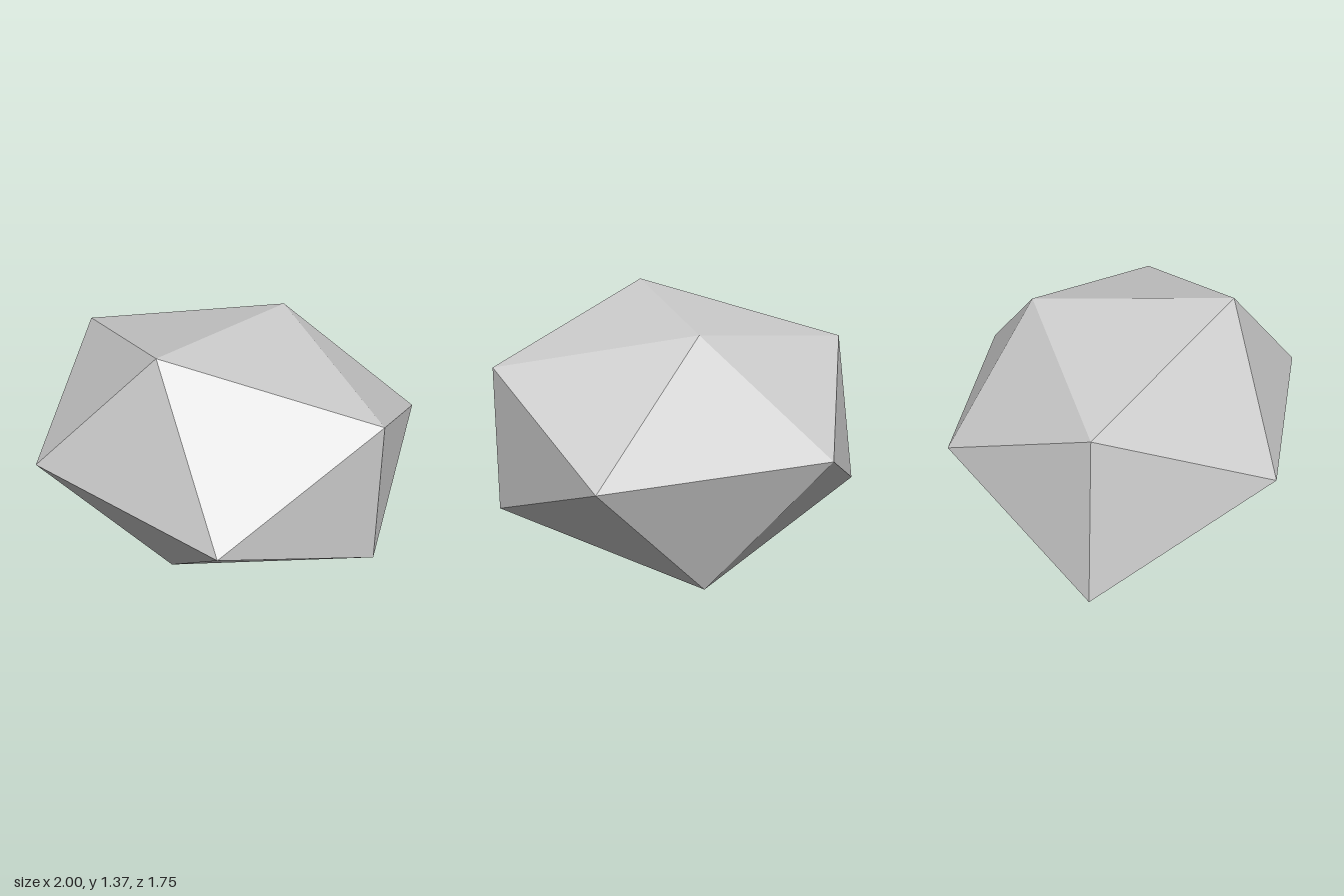
import * as THREE from 'three';

export function createModel() {
  const model = new THREE.Group();
  const stoneGrey = new THREE.MeshStandardMaterial({ color: 0xcccccc });
  const v = (x, y, z) => new THREE.Vector3(x, y, z);

  // Corner pairs, first index 0 = negative side, 1 = positive side
  const ends = [ // [back, front][-x, +x]
    [v(-0.48, 0.7, -0.815), v(0.69, 0.7, -0.88)],
    [v(-0.495, 0.7, 0.825), v(0.698, 0.7, 0.873)],
  ];
  const caps = [ // [bottom, top][back, front]
    [v(0.083, 0, -0.58), v(0.083, 0.13, 0.47)],
    [v(0.083, 1.28, -0.483), v(0.083, 1.365, 0.543)],
  ];
  const sides = [ // [-x, +x][lower, upper]
    [v(-1, 0.257, -0.005), v(-0.877, 1.097, -0.005)],
    [v(0.997, 0.326, -0.005), v(0.992, 1.075, -0.005)],
  ];

  const points = [];
  const centre = v(0, 0.69, 0);
  const normal = v(0, 0, 0);
  // Add a facet, wound so that it faces outwards
  const facet = (a, b, c) => {
    new THREE.Triangle(a, b, c).getNormal(normal);
    const outward = normal.dot(a.clone().sub(centre)) > 0;
    points.push(...(outward ? [a, b, c] : [a, c, b]));
  };

  for (const i of [0, 1]) {
    for (const j of [0, 1]) {
      // Facets resting on the edge of each pair
      facet(ends[i][0], ends[i][1], caps[j][i]);
      facet(caps[i][0], caps[i][1], sides[j][i]);
      facet(sides[i][0], sides[i][1], ends[j][i]);
      // One facet in each octant
      for (const k of [0, 1]) facet(ends[k][i], caps[j][k], sides[i][j]);
    }
  }

  const geometry = new THREE.BufferGeometry().setFromPoints(points);
  geometry.computeVertexNormals(); // unshared corners give flat facets
  const rock = new THREE.Mesh(geometry, stoneGrey);
  rock.name = 'rock';
  model.add(rock);
  return model;
}
